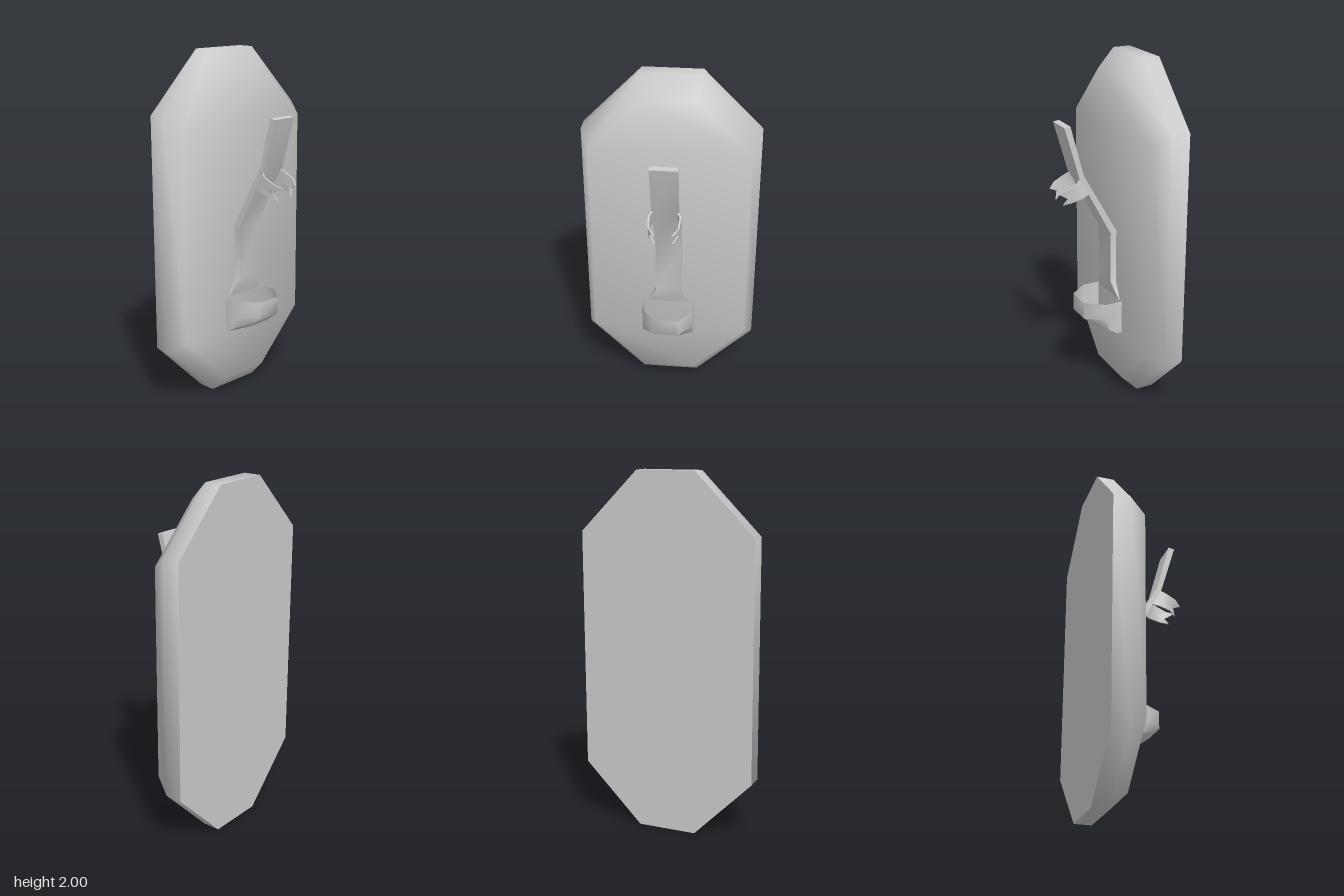
import * as THREE from 'three';
import { toCreasedNormals } from 'three/addons/utils/BufferGeometryUtils.js';

// Skin a list of equal rings (counter-clockwise seen from the last one); caps are strips.
function loft(rings, startCap = true, endCap = true) {
  const n = rings[0].length, index = [];
  const quad = (a, b, c, d) => index.push(a, b, c, a, c, d);
  for (let r = 0; r < rings.length - 1; r++) {
    for (let i = 0; i < n; i++) {
      const j = (i + 1) % n, a = r * n, b = a + n;
      quad(a + i, a + j, b + j, b + i);
    }
  }
  const last = (rings.length - 1) * n;
  for (let i = 0; i < n / 2 - 1; i++) {
    const k = n - 1 - i;
    if (startCap) quad(i, k, k - 1, i + 1);
    if (endCap) quad(last + i, last + i + 1, last + k - 1, last + k);
  }
  const geometry = new THREE.BufferGeometry();
  geometry.setAttribute('position', new THREE.Float32BufferAttribute(rings.flat(2), 3));
  geometry.setIndex(index);
  return geometry;
}

function addPart(group, name, geometry, crease, side = THREE.FrontSide) {
  const material = new THREE.MeshStandardMaterial({ color: 0xcccccc, side });
  const mesh = new THREE.Mesh(toCreasedNormals(geometry, crease), material);
  mesh.name = name;
  group.add(mesh);
}

export function createModel() {
  const group = new THREE.Group();
  group.name = 'wallHolder';

  // Long octagonal back plate with a bevelled front
  const corners = [[0.167, -1], [0.5, -0.665], [0.5, 0.665], [0.167, 1],
    [-0.167, 1], [-0.5, 0.665], [-0.5, -0.665], [-0.167, -1]];
  const plateRing = (z, s) => corners.map(([x, y]) => [x * s, 1 + y * s, z]);
  addPart(group, 'backPlate',
    loft([plateRing(-0.275, 1), plateRing(-0.175, 1), plateRing(-0.075, 0.9)]), 1.15);

  // Bent strap: half width, front y and z, back y and z
  const strap = [
    [0.125, 0.6, -0.07, 0.6, -0.085],
    [0.075, 0.7, -0.04, 0.7, -0.085],
    [0.075, 1.0, -0.04, 1.01, -0.077],
    [0.075, 1.36, 0.153, 1.37, 0.126],
    [0.075, 1.65, 0.237, 1.655, 0.202],
  ].map(([w, yf, zf, yb, zb]) => [[-w, yf, zf], [w, yf, zf], [w, yb, zb], [-w, yb, zb]]);
  addPart(group, 'strap', loft(strap), 0.7);

  // Faceted cup, open on top: y, side z, front z
  const cup = [
    [0.4, -0.05, -0.03],
    [0.43, 0.0, 0.04],
    [0.5, 0.025, 0.13],
    [0.6, 0.025, 0.13],
  ].map(([y, zs, zf]) => [[-0.15, y, -0.076], [-0.15, y, zs], [-0.07, y, zf],
    [0.07, y, zf], [0.15, y, zs], [0.15, y, -0.076]]);
  addPart(group, 'cup', loft(cup, true, false), 1.15, THREE.DoubleSide);

  // Forked claws: bottom, middle and top points of each section as x, y, z
  const sections = [
    [[0.072, 1.26, 0.09], [0.072, 1.30, 0.115], [0.072, 1.355, 0.145]],
    [[0.09, 1.247, 0.13], [0.09, 1.29, 0.15], [0.09, 1.335, 0.17]],
    [[0.086, 1.228, 0.2], [0.086, 1.265, 0.205], [0.086, 1.303, 0.235]],
    [[0.055, 1.21, 0.24], [0.08, 1.252, 0.222], [0.055, 1.28, 0.273]],
  ];
  for (const side of [1, -1]) {
    const rings = sections.map((points) => {
      const inner = points.map(([x, y, z]) => [x - 0.009, y, z]).reverse();
      const ring = [...points, ...inner].map(([x, y, z]) => [x * side, y, z]);
      return side > 0 ? ring : ring.reverse();
    });
    addPart(group, side > 0 ? 'leftClaw' : 'rightClaw', loft(rings), 0.7);
  }
  return group;
}
